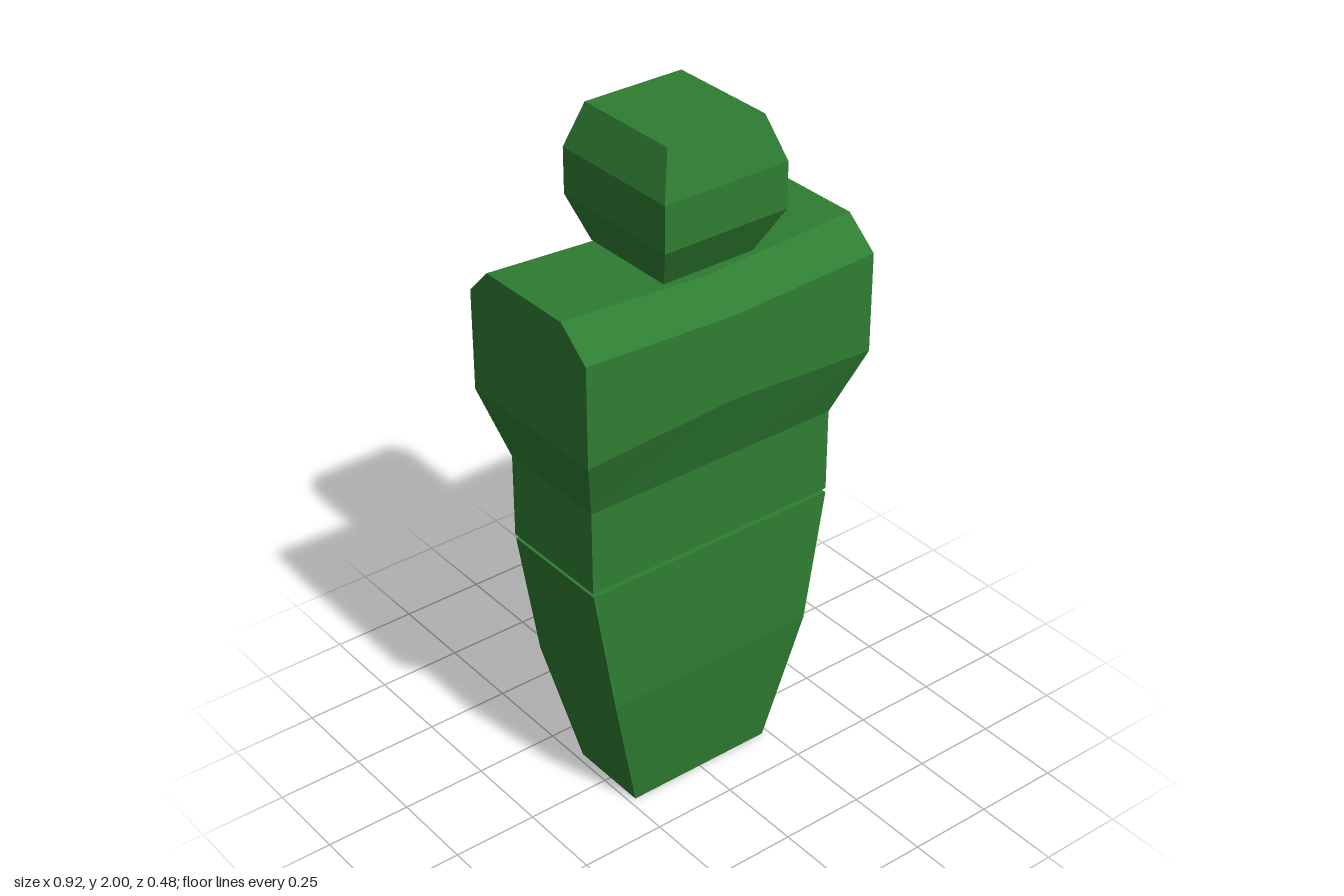
import * as THREE from 'three';

const material = new THREE.MeshStandardMaterial({ color: 0x2e7d32, flatShading: true });

// Faceted block from stacked rectangular sections [y, xMin, xMax, zBack, zFront, centreDip].
// Columns split the width so rows can bend; centreDip offsets y toward x = 0.
function block(name, rows, columns = [0, 1]) {
  const n = columns.length;
  const rings = rows.map(([y, x0, x1, zb, zf, dip = 0]) => {
    const side = (z) => columns.map((t) =>
      [x0 + (x1 - x0) * t, y + dip * (1 - Math.abs(2 * t - 1)), z]);
    return [...side(zf), ...side(zb).reverse()];
  });
  const positions = [];
  const quad = (a, b, c, d) => positions.push(...a, ...b, ...c, ...a, ...c, ...d);

  // Walls
  for (let r = 0; r < rings.length - 1; r++) {
    for (let i = 0; i < 2 * n; i++) {
      const j = (i + 1) % (2 * n);
      quad(rings[r][i], rings[r][j], rings[r + 1][j], rings[r + 1][i]);
    }
  }
  // Bottom and top caps
  const bottom = rings[0], top = rings[rings.length - 1];
  for (let i = 0; i < n - 1; i++) {
    const k = 2 * n - 1 - i;
    quad(top[i], top[i + 1], top[k - 1], top[k]);
    quad(bottom[k], bottom[k - 1], bottom[i + 1], bottom[i]);
  }

  const geometry = new THREE.BufferGeometry();
  geometry.setAttribute('position', new THREE.Float32BufferAttribute(positions, 3));
  geometry.computeVertexNormals();
  const mesh = new THREE.Mesh(geometry, material);
  mesh.name = name;
  return mesh;
}

export function createModel() {
  const model = new THREE.Group();
  model.name = 'blockFigure';

  // Tapered lower body
  model.add(block('lowerBody', [
    [0, -0.23, 0.23, -0.13, 0.115],
    [0.4, -0.33, 0.33, -0.18, 0.165],
    [0.795, -0.395, 0.395, -0.18, 0.165],
  ]));

  // Waist, chest and shoulders, with the shoulder line sagging in the middle
  model.add(block('torso', [
    [0.808, -0.397, 0.395, -0.18, 0.165],
    [1.055, -0.397, 0.395, -0.18, 0.165],
    [1.255, -0.46, 0.46, -0.242, 0.242, 0.025],
    [1.545, -0.46, 0.46, -0.242, 0.242, -0.02],
    [1.625, -0.46, 0.46, -0.165, 0.145, -0.025],
  ], [0, 0.5, 1]));

  // Bevelled head
  model.add(block('head', [
    [1.618, -0.145, 0.14, -0.155, 0.14],
    [1.745, -0.193, 0.192, -0.202, 0.207],
    [1.875, -0.193, 0.192, -0.202, 0.207],
    [2, -0.152, 0.15, -0.162, 0.165],
  ]));

  return model;
}
